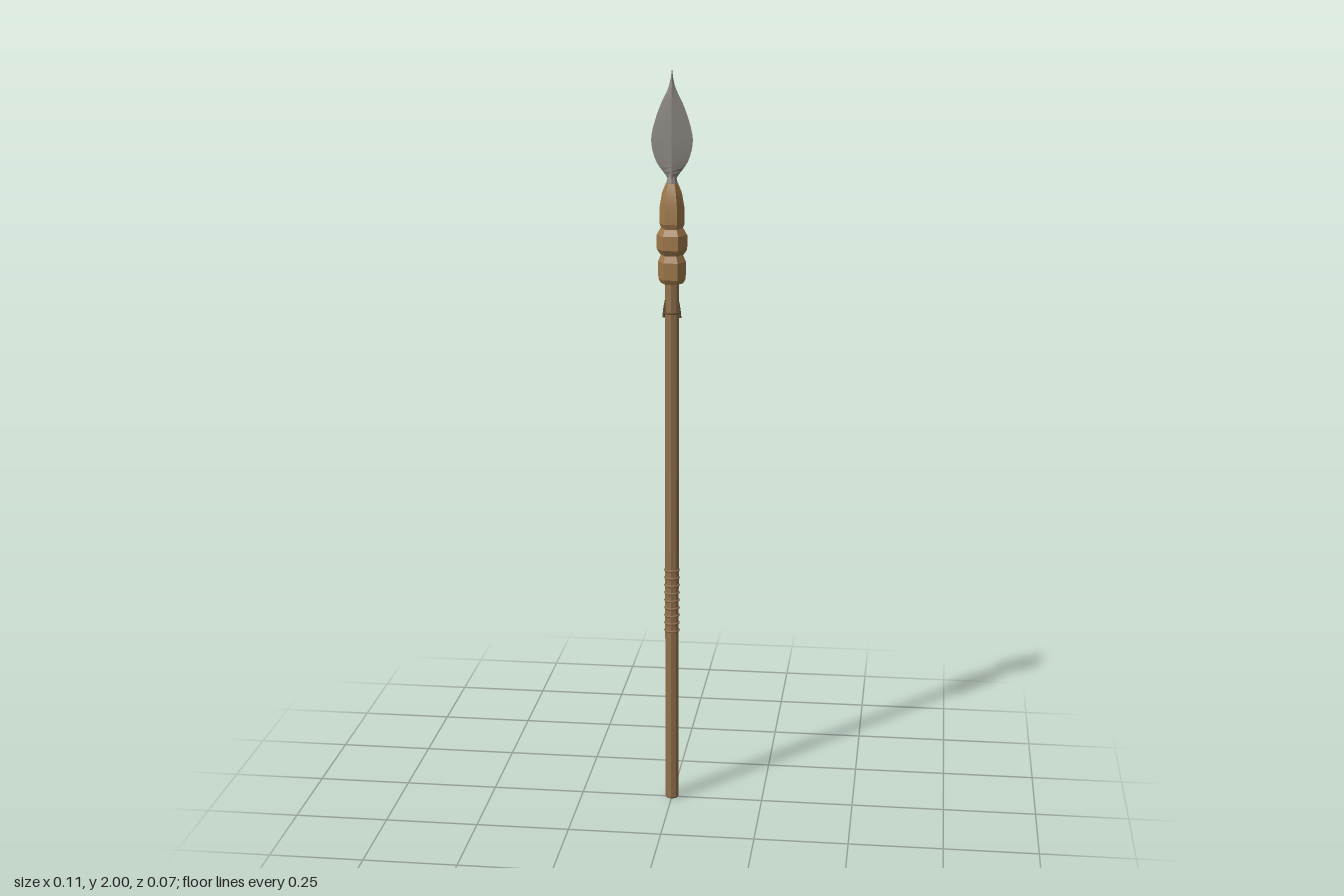
import * as THREE from 'three';
import { toCreasedNormals } from 'three/addons/utils/BufferGeometryUtils.js';

const wood = new THREE.MeshStandardMaterial({ color: 0x92714c });
const binding = new THREE.MeshStandardMaterial({ color: 0xa07a4c });
const cord = new THREE.MeshStandardMaterial({ color: 0x6b5136 });
const metal = new THREE.MeshStandardMaterial({ color: 0x8a8680 });

function add(group, name, geometry, material) {
  const mesh = new THREE.Mesh(geometry, material);
  mesh.name = name;
  group.add(mesh);
  return mesh;
}

// Faceted turned part; corners lie on the x axis for even side counts
function turned(points, sides) {
  const profile = points.map(([r, y]) => new THREE.Vector2(r, y));
  const geometry = new THREE.LatheGeometry(profile, sides).rotateY(Math.PI / 2);
  return toCreasedNormals(geometry, 0.3);
}

// Leaf blade with a diamond cross-section: half width and half thickness by height
function bladeGeometry() {
  const outline = new THREE.SplineCurve([
    [0.010, 1.70], [0.013, 1.725], [0.041, 1.765], [0.054, 1.815], [0.047, 1.86],
    [0.030, 1.91], [0.011, 1.95], [0.004, 1.975], [0.0005, 2.0],
  ].map(([w, y]) => new THREE.Vector2(w, y)));
  const rows = 28;
  const geometry = new THREE.CylinderGeometry(1, 1, 1, 4, rows);
  const pos = geometry.attributes.position;
  for (let i = 0; i < pos.count; i++) {
    const t = pos.getY(i) + 0.5;
    const p = outline.getPoint(t);
    const thick = THREE.MathUtils.lerp(0.014, 0.002, t);
    pos.setXYZ(i, pos.getX(i) * p.x, p.y, pos.getZ(i) * thick);
  }
  return toCreasedNormals(geometry, 0.25);
}

export function createModel() {
  const spear = new THREE.Group();
  spear.name = 'spear';

  // Pole
  add(spear, 'shaft', turned([[0, 0], [0.017, 0], [0.0185, 0.004], [0.0185, 1.5], [0, 1.5]], 8), wood);

  // Cord wound around the grip
  const grip = new THREE.Group();
  grip.name = 'gripWrap';
  spear.add(grip);
  for (let i = 0; i < 9; i++) {
    const ring = add(grip, 'gripRing', new THREE.TorusGeometry(0.018, 0.0035, 6, 16), wood);
    ring.rotation.x = Math.PI / 2;
    ring.position.y = 0.49 + i * 0.0215;
  }

  // Stacked hexagonal bindings below the head
  add(spear, 'lowerBinding', turned([
    [0, 1.448], [0.029, 1.448], [0.036, 1.460], [0.037, 1.505], [0.029, 1.523], [0, 1.523],
  ], 6), binding);
  add(spear, 'middleBinding', turned([
    [0, 1.523], [0.030, 1.523], [0.040, 1.538], [0.040, 1.575], [0.031, 1.592], [0, 1.592],
  ], 6), binding);
  add(spear, 'upperBinding', turned([
    [0, 1.590], [0.028, 1.592], [0.033, 1.605], [0.032, 1.650], [0.026, 1.685], [0.016, 1.710], [0, 1.710],
  ], 6), binding);

  // Metal socket and blade
  add(spear, 'socket', turned([[0.017, 1.69], [0.014, 1.715], [0.008, 1.735], [0, 1.745]], 8), metal);
  add(spear, 'blade', bladeGeometry(), metal);

  // Loose cord ends on either side of the shaft
  for (const side of [-1, 1]) {
    const path = new THREE.CatmullRomCurve3([
      new THREE.Vector3(side * 0.015, 1.405, 0.004),
      new THREE.Vector3(side * 0.019, 1.385, 0.004),
      new THREE.Vector3(side * 0.022, 1.357, 0.002),
    ]);
    add(spear, side > 0 ? 'leftCordEnd' : 'rightCordEnd', new THREE.TubeGeometry(path, 6, 0.0035, 6), cord);
  }
  const knot = add(spear, 'cordLoop', new THREE.TorusGeometry(0.0185, 0.003, 6, 16), cord);
  knot.rotation.x = Math.PI / 2;
  knot.position.y = 1.37;

  return spear;
}
